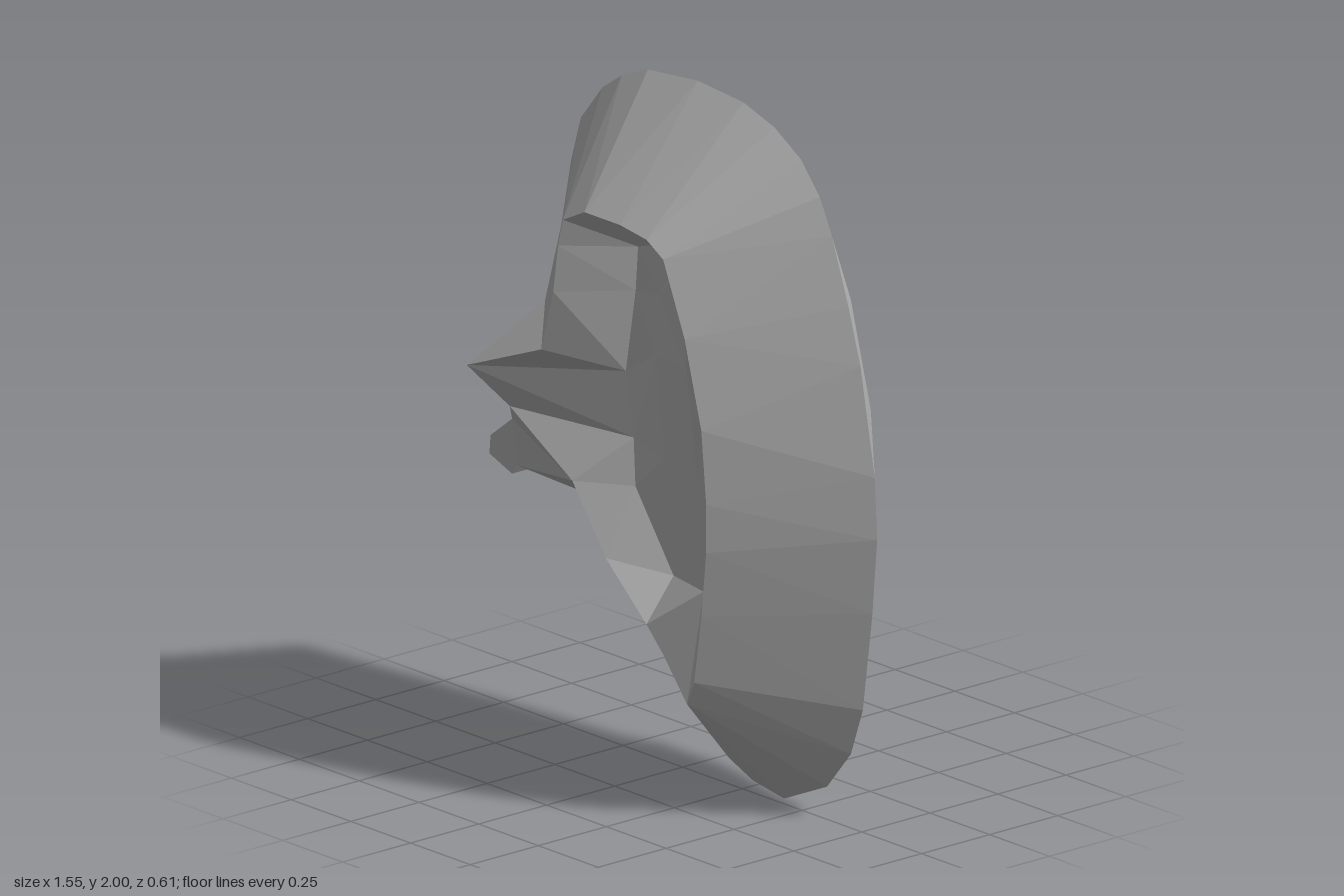
import * as THREE from 'three';

const MID = -0.03; // depth of the outline seam
const RIM = 0.3;   // depth of the front rim
const grey = new THREE.MeshStandardMaterial({ color: 0xb0b0b0, flatShading: true, side: THREE.DoubleSide });
grey.name = 'plain grey';

const V = (x, y, z) => new THREE.Vector3(x, y, z);
const line = (z, pts) => pts.map(([x, y, d = z]) => V(x, y, d));

// Bridge two open lines with triangles, always taking the shorter diagonal
function bridge(a, b) {
  const tris = [];
  let i = 0, j = 0;
  while (i < a.length - 1 || j < b.length - 1) {
    const da = i < a.length - 1 ? a[i + 1].distanceTo(b[j]) : Infinity;
    const db = j < b.length - 1 ? a[i].distanceTo(b[j + 1]) : Infinity;
    if (da <= db) tris.push([a[i], a[++i], b[j]]);
    else tris.push([a[i], b[j + 1], b[j++]]);
  }
  return tris;
}

// Fan a line of points around one apex
const fan = (apex, pts) => pts.slice(1).map((p, i) => [apex, pts[i], p]);

// Build a faceted mesh whose triangles face the front (+1) or back (-1)
function facets(name, facing, tris) {
  const pts = [];
  for (const [a, b, c] of tris) {
    const n = b.clone().sub(a).cross(c.clone().sub(a));
    if (n.length() < 1e-7) continue;
    pts.push(...(n.z * facing < 0 ? [a, c, b] : [a, b, c]));
  }
  const geo = new THREE.BufferGeometry().setFromPoints(pts);
  geo.computeVertexNormals();
  const mesh = new THREE.Mesh(geo, grey);
  mesh.name = name;
  return mesh;
}

export function createModel() {
  const group = new THREE.Group();
  group.name = 'headShell';

  // Outer outline, from the nape around the crown to the brow
  const outline = line(MID, [
    [0, 0.44], [0.01, 0.2], [0.16, 0.06], [0.26, 0.02], [0.39, 0], [0.57, 0.08], [0.67, 0.2],
    [0.72, 0.34], [0.76, 0.63], [0.78, 0.85], [0.77, 1.03], [0.71, 1.34], [0.66, 1.5],
    [0.59, 1.69], [0.54, 1.79], [0.46, 1.88], [0.35, 1.945], [0.22, 1.985], [0.03, 2],
    [-0.18, 1.98], [-0.29, 1.935], [-0.37, 1.88], [-0.46, 1.77], [-0.5, 1.64],
    [-0.53, 1.48], [-0.57, 1.34], [-0.61, 1.2],
  ]);
  const brow = outline[outline.length - 1];
  const temple = outline[outline.length - 3];

  // Raised front rim
  const rim = line(RIM, [
    [0.36, 0.34], [0.39, 0.41], [0.42, 0.61], [0.44, 0.8], [0.44, 0.94], [0.42, 1.15],
    [0.35, 1.4], [0.26, 1.61], [0.19, 1.65], [0.08, 1.665], [-0.07, 1.665],
    [-0.16, 1.62], [-0.18, 1.54], [-0.2, 1.4], [-0.25, 1.22],
  ]);
  const browRim = rim[rim.length - 1];
  group.add(facets('frontBevel', 1, bridge(outline, rim)));

  // Recess inside the rim
  const eye = V(-0.09, 1.16, 0.13), cheek = V(0, 1, 0.18), cheekLow = V(0.03, 0.87, 0.2);
  const panelRight = line(0.2, [
    [0.35, 0.65, 0.23], [0.29, 0.95], [0.22, 1.25, 0.18], [0.17, 1.53, 0.15],
  ]);
  const panelLeft = line(0.2, [
    [0.19, 0.65], [0.13, 0.97, 0.18], [0.06, 1.25, 0.15], [0.05, 1.42, 0.13], [0.08, 1.46, 0.13],
  ]);
  const recessTop = line(0.12, [[0.04, 1.56], [-0.05, 1.53], [-0.06, 1.4]]);
  group.add(facets('recessWall', 1, bridge(rim, [rim[0], ...panelRight, ...recessTop, eye])));
  group.add(facets('recessPanel', 1, bridge(panelRight, panelLeft)));
  group.add(facets('recessFloor', 1, [
    ...bridge(panelLeft, [panelLeft[0], cheekLow, cheek, eye, ...[...recessTop].reverse()]),
    [panelLeft[4], panelRight[3], recessTop[0]],
  ]));

  // Cheek and chin
  const jawRim = line(RIM, [[-0.12, 0.87], [0.02, 0.68], [0.19, 0.53], [0.26, 0.46], [0.36, 0.34]]);
  const chin = line(MID, [[-0.4, 0.68], [-0.34, 0.6], [-0.28, 0.5], [0, 0.44]]);
  group.add(facets('cheek', 1, bridge(jawRim, [cheek, cheekLow, panelLeft[0], panelRight[0]])));
  group.add(facets('chinFront', 1, bridge(chin, jawRim)));

  // Snout and mouth
  const tip = V(-0.71, 1.03, 0.17), tipBack = V(-0.71, 1.01, -0.24);
  const lip = V(-0.61, 0.92, 0.1), jawTop = V(-0.68, 0.85, 0.03), jawLow = V(-0.66, 0.72, 0.03);
  group.add(facets('snoutFront', 1, [
    [brow, browRim, tip], [browRim, eye, tip], [tip, eye, cheek], [tip, cheek, lip],
    [lip, cheek, jawRim[0]], [lip, jawRim[0], jawTop], [jawTop, jawRim[0], jawLow],
    [jawLow, jawRim[0], chin[0]], [brow, tip, tipBack], [tip, lip, tipBack], [lip, jawTop, tipBack],
  ]));

  // Small hooked tooth at the end of the jaw
  const hook = [[-0.68, 0.85], [-0.77, 0.78], [-0.775, 0.725], [-0.68, 0.69], [-0.66, 0.72]];
  const near = line(0.03, hook), far = line(-0.06, hook);
  group.add(facets('toothFront', 1, fan(near[0], near.slice(1))));
  group.add(facets('toothBack', -1, fan(far[0], far.slice(1))));
  group.add(facets('toothEdge', 1, bridge(near, far)));

  // Back of the head: bevel ring, then a shallow dome
  const ring = line(-0.25, [
    [0.19, 0.66, -0.27], [0.36, 0.38, -0.22], [0.45, 0.8, -0.27], [0.48, 1.1, -0.27],
    [0.42, 1.41], [0.235, 1.65, -0.22], [-0.17, 1.66, -0.22], [-0.05, 1.41, -0.27],
  ]);
  const bump = V(0.33, 0.67, -0.31), side = V(-0.2, 1.16, -0.285), jawBack = V(-0.22, 0.74, -0.25);
  group.add(facets('backBevel', -1, bridge(outline.slice(0, -2), ring)));
  group.add(facets('backDome', -1, [
    ...fan(V(0.2, 1.1, -0.295), [ring[0], bump, ...ring.slice(2), side, jawBack, ring[0]]),
    [ring[0], ring[1], bump], [ring[1], ring[2], bump],
  ]));

  // Back of the face and jaw
  group.add(facets('faceBack', -1, [
    [ring[7], temple, tipBack], [ring[7], tipBack, side], [side, tipBack, jawBack],
    ...fan(tipBack, outline.slice(-3)),
  ]));
  group.add(facets('jawBack', -1, [
    [jawBack, tipBack, far[0]], [jawBack, far[0], far[4]], [jawBack, far[4], chin[0]],
    ...fan(jawBack, chin), [jawBack, chin[3], ring[0]],
    [far[4], near[4], chin[0]],
  ]));

  return group;
}
